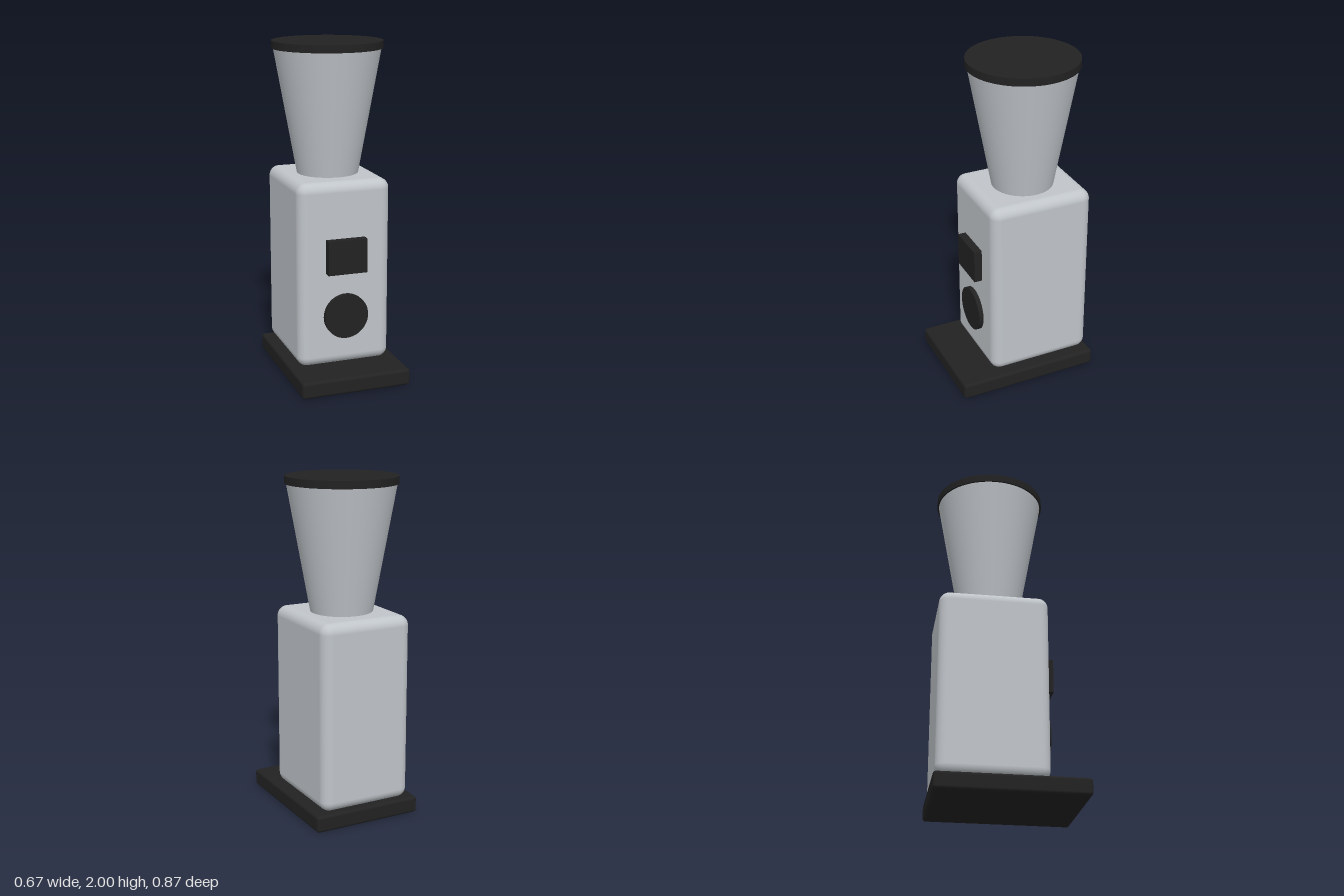
import * as THREE from 'three';
import { RoundedBoxGeometry } from 'three/addons/geometries/RoundedBoxGeometry.js';

export function createModel() {
  const model = new THREE.Group();
  model.name = 'coffeeGrinder';

  const metal = new THREE.MeshStandardMaterial({ color: 0xc0c5ca });
  metal.name = 'brushed silver';
  const black = new THREE.MeshStandardMaterial({ color: 0x222222 });
  black.name = 'matte black';

  const add = (name, geometry, material, x, y, z) => {
    const mesh = new THREE.Mesh(geometry, material);
    mesh.name = name;
    mesh.position.set(x, y, z);
    model.add(mesh);
    return mesh;
  };

  const axisZ = -0.1; // body and hopper sit towards the back of the base

  // Foot plate and housing
  add('base', new RoundedBoxGeometry(0.67, 0.1, 0.87, 4, 0.018), black, 0, 0.05, 0);
  add('body', new RoundedBoxGeometry(0.57, 1.115, 0.64, 6, 0.06), metal, 0, 0.6575, axisZ);

  // Flared bean hopper and its lid
  add('hopper', new THREE.CylinderGeometry(0.32, 0.183, 0.76, 64), metal, 0, 1.585, axisZ);
  add('lid', new THREE.CylinderGeometry(0.328, 0.328, 0.045, 64), black, 0, 1.9775, axisZ);

  // Controls on the front face
  add('controlPanel', new THREE.BoxGeometry(0.24, 0.205, 0.06), black, 0, 0.778, 0.239);
  const dial = add('dial', new THREE.CylinderGeometry(0.135, 0.135, 0.04, 48), black, 0, 0.408, 0.228);
  dial.rotation.x = Math.PI / 2;

  return model;
}
